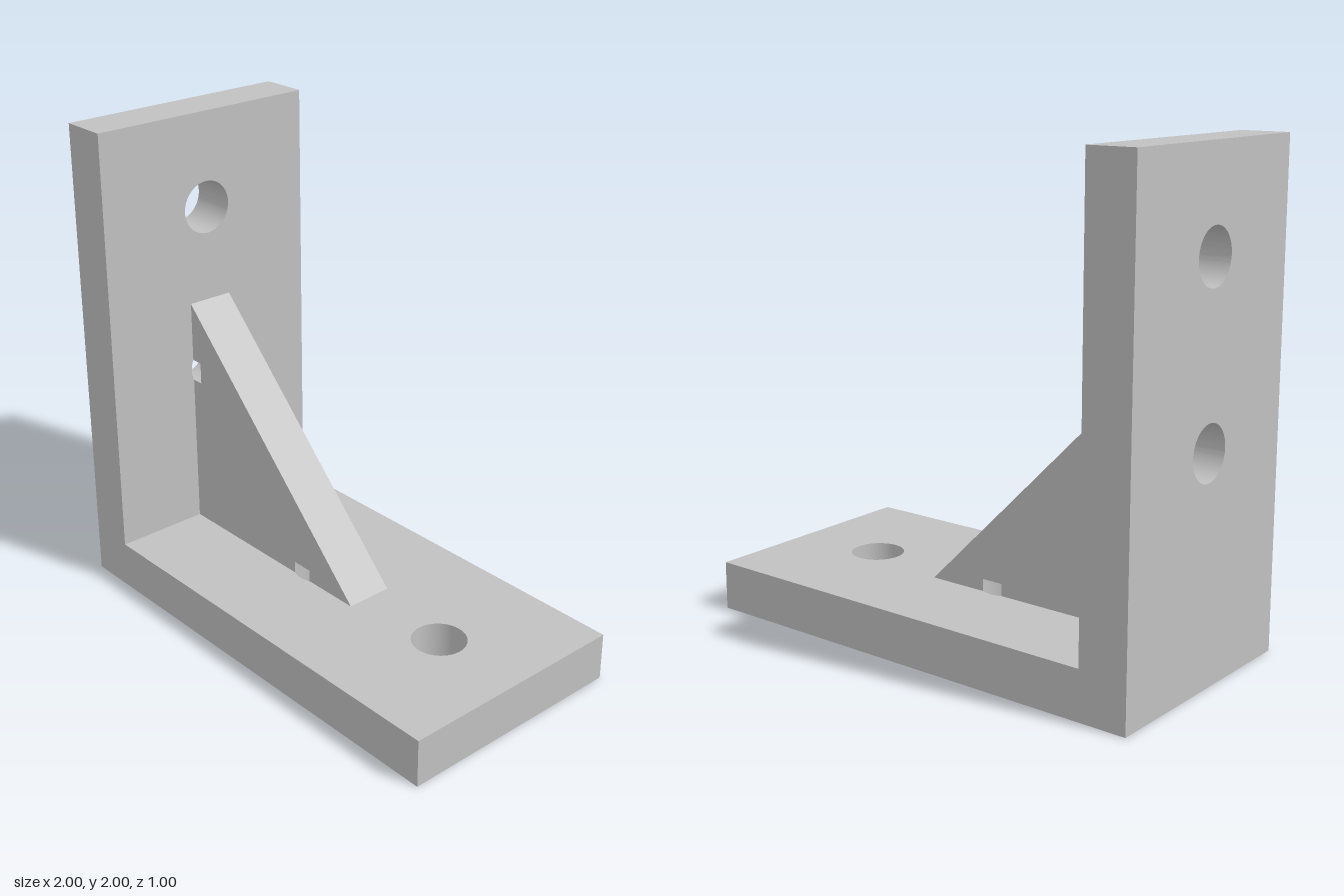
import * as THREE from 'three';
import { toCreasedNormals } from 'three/addons/utils/BufferGeometryUtils.js';

const T = 0.2;        // plate thickness
const HOLE = 0.11;    // bolt hole radius
const NEAR = 0.7;     // hole distances from the inner corner
const FAR = 1.4;
const RIB = 0.1;      // half the rib width
const POCKET = 0.05;  // how far the near holes bite into the rib

// Extrude a plan shape upward from y0 to y0 + height
function slab(shape, y0, height) {
  const g = new THREE.ExtrudeGeometry(shape, { depth: height, bevelEnabled: false, curveSegments: 48 });
  g.rotateX(-Math.PI / 2);
  g.translate(0, y0, 0);
  return g;
}

function rectangle(x0, x1, half) {
  return new THREE.Shape([
    new THREE.Vector2(x0, -half), new THREE.Vector2(x1, -half),
    new THREE.Vector2(x1, half), new THREE.Vector2(x0, half),
  ]);
}

export function createModel() {
  const grey = new THREE.MeshStandardMaterial({ color: 0xc0c0c0 });
  grey.name = 'grey metal';
  const model = new THREE.Group();
  model.name = 'angleBracket';

  // Everything is measured from the inner corner of the two plates
  const corner = new THREE.Group();
  corner.name = 'bracket';
  corner.position.set(-0.8, T, 0);
  model.add(corner);

  function add(parent, name, geometry) {
    const mesh = new THREE.Mesh(toCreasedNormals(geometry, 0.5), grey);
    mesh.name = name;
    parent.add(mesh);
  }

  // One leg: drilled plate plus the layer of rib that its near hole cuts through
  function leg(name, plateStart, ribStart) {
    const group = new THREE.Group();
    group.name = name;

    const plate = rectangle(plateStart, 1.8, 0.5);
    for (const u of [NEAR, FAR]) {
      plate.holes.push(new THREE.Path().absarc(u, 0, HOLE, 0, Math.PI * 2, true));
    }
    add(group, name + 'Plate', slab(plate, -T, T));

    const a = Math.asin(RIB / HOLE);
    const inner = new THREE.Shape();
    inner.moveTo(ribStart, RIB);
    inner.lineTo(ribStart, -RIB);
    inner.absarc(NEAR, 0, HOLE, Math.PI + a, Math.PI - a, true);
    inner.closePath();
    add(group, name + 'RibInnerFoot', slab(inner, 0, POCKET));

    const outer = new THREE.Shape();
    outer.moveTo(1, -RIB);
    outer.lineTo(1, RIB);
    outer.absarc(NEAR, 0, HOLE, a, -a, true);
    outer.closePath();
    const foot = slab(outer, 0, POCKET);
    // Slope the outer end at 45 degrees
    const p = foot.attributes.position;
    for (let i = 0; i < p.count; i++) {
      if (p.getX(i) > 0.99 && p.getY(i) > POCKET / 2) p.setX(i, 1 - POCKET);
    }
    add(group, name + 'RibOuterFoot', foot);
    corner.add(group);
    return group;
  }

  leg('base', 0, 0);
  // The upright is the base turned over the diagonal, so x and y swap
  const upright = leg('upright', -T, POCKET);
  upright.quaternion.setFromAxisAngle(new THREE.Vector3(1, 1, 0).normalize(), Math.PI);

  // Solid triangular body of the rib
  const triangle = new THREE.Shape([
    new THREE.Vector2(POCKET, POCKET),
    new THREE.Vector2(1 - POCKET, POCKET),
    new THREE.Vector2(POCKET, 1 - POCKET),
  ]);
  const rib = new THREE.ExtrudeGeometry(triangle, { depth: 2 * RIB, bevelEnabled: false });
  rib.translate(0, 0, -RIB);
  add(corner, 'ribBody', rib);

  return model;
}
